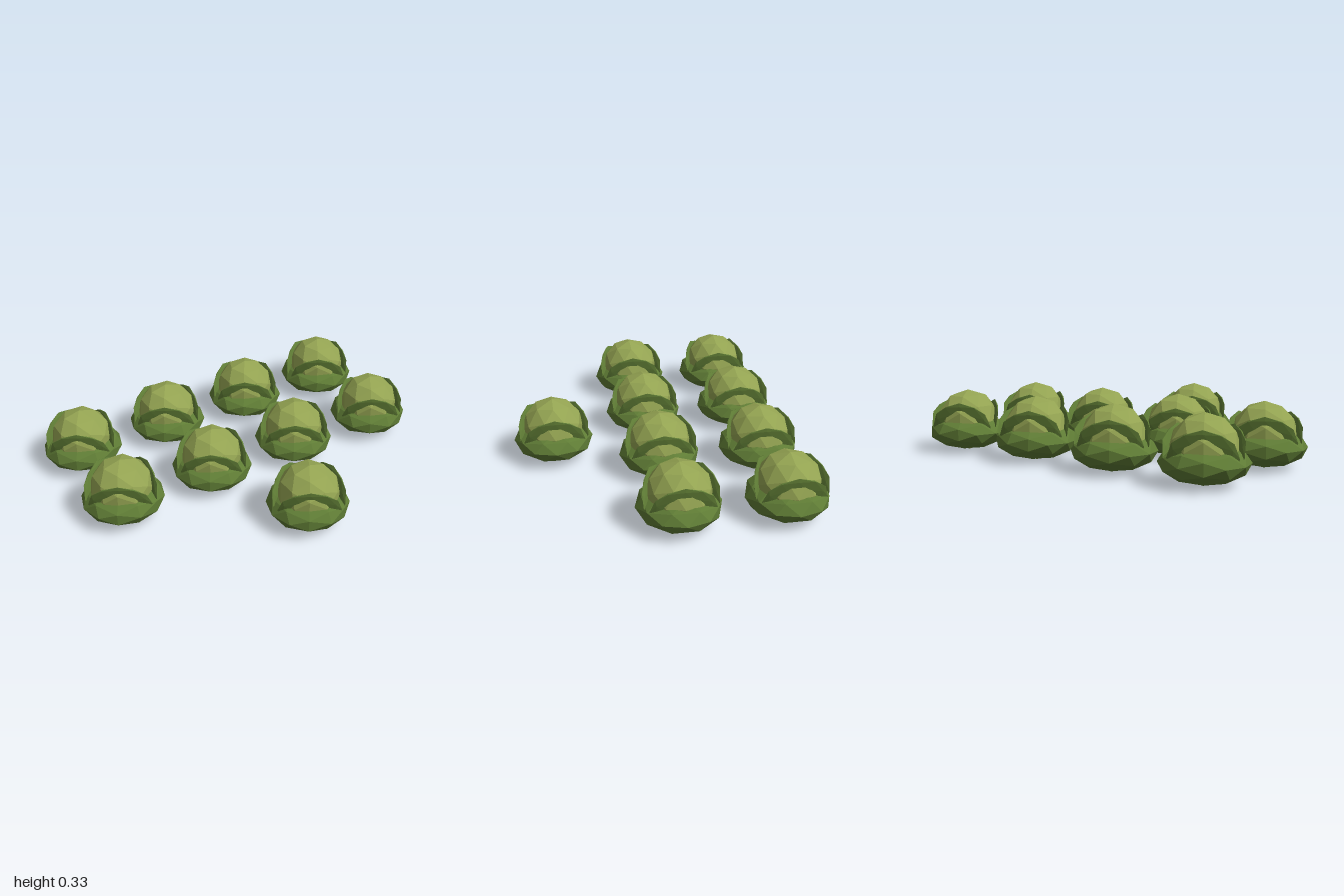
import * as THREE from 'three';

const mat = (name, color) => {
  const m = new THREE.MeshStandardMaterial({ color, flatShading: true });
  m.name = name;
  return m;
};

export function createModel() {
  const headMat = mat('pale leaf green', 0x94a452);
  const leafMat = mat('deep leaf green', 0x5f7c35);
  const ball = new THREE.IcosahedronGeometry(1, 1);

  // a faceted ball squashed to the given half sizes
  const blob = (name, material, sx, sy, sz, y) => {
    const mesh = new THREE.Mesh(ball, material);
    mesh.name = name;
    mesh.scale.set(sx, sy, sz);
    mesh.position.y = y;
    return mesh;
  };

  function cabbage() {
    const g = new THREE.Group();
    g.name = 'cabbage';
    g.add(blob('head', headMat, 0.165, 0.165, 0.165, 0.165));
    g.add(blob('outerLeaves', leafMat, 0.215, 0.1, 0.21, 0.105));
    // three thin leaves around the head, leaning outwards at the top
    for (let i = 0; i < 3; i++) {
      const pivot = new THREE.Group();
      pivot.name = 'wrapLeaf';
      pivot.rotation.y = (i * Math.PI * 2) / 3;
      const leaf = blob('leafBlade', leafMat, 0.012, 0.133, 0.16, 0.142);
      leaf.position.x = 0.115;
      leaf.rotation.z = -0.26;
      pivot.add(leaf);
      g.add(pivot);
    }
    return g;
  }

  // two rows of four and a single one in front
  const spots = [[0, 0.53]];
  for (const z of [-0.53, 0]) for (const x of [-0.78, -0.26, 0.26, 0.78]) spots.push([x, z]);

  const model = new THREE.Group();
  model.name = 'cabbagePatch';
  for (const [x, z] of spots) {
    const c = cabbage();
    c.position.set(x, 0, z);
    model.add(c);
  }
  return model;
}
